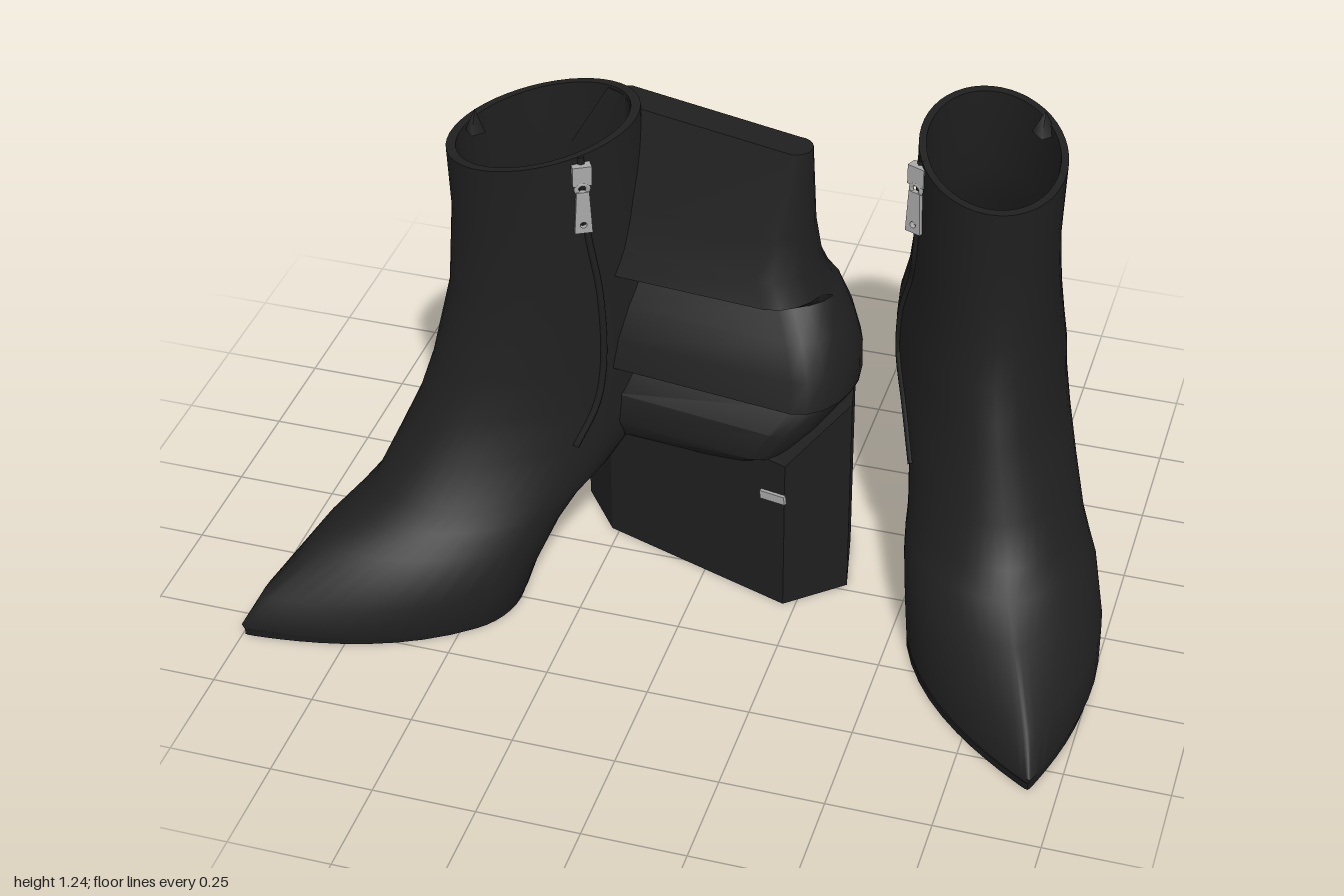
import * as THREE from 'three';
import { toCreasedNormals } from 'three/addons/utils/BufferGeometryUtils.js';

const leather = new THREE.MeshStandardMaterial({ name: 'black leather', color: 0x1f1f1f });
const rubber = new THREE.MeshStandardMaterial({ name: 'dark sole', color: 0x1b1b1b });
const metal = new THREE.MeshStandardMaterial({ name: 'zip metal', color: 0xa8a8a8 });
const N = 48;
const V = (x, y, z) => new THREE.Vector3(x, y, z);

// Skin over rings listed bottom to top (counter-clockwise from above), closed at both ends
function loft(rings, crease) {
  const n = rings[0].length, pos = [], idx = [];
  rings.forEach(r => r.forEach(p => pos.push(p.x, p.y, p.z)));
  for (let i = 0; i < rings.length - 1; i++) for (let j = 0; j < n; j++) {
    const a = i * n + j, b = i * n + (j + 1) % n;
    idx.push(a, b, b + n, a, b + n, a + n);
  }
  [0, rings.length - 1].forEach(i => {
    const c = V(0, 0, 0);
    rings[i].forEach(p => c.addScaledVector(p, 1 / n));
    const k = pos.length / 3;
    pos.push(c.x, c.y, c.z);
    for (let j = 0; j < n; j++) {
      const a = i * n + j, b = i * n + (j + 1) % n;
      if (i === 0) idx.push(k, b, a); else idx.push(k, a, b);
    }
  });
  const g = new THREE.BufferGeometry();
  g.setAttribute('position', new THREE.Float32BufferAttribute(pos, 3));
  g.setIndex(idx);
  return toCreasedNormals(g, crease);
}

function add(group, name, geometry, material, position = [0, 0, 0]) {
  const m = new THREE.Mesh(geometry, material);
  m.name = name;
  m.position.set(...position);
  group.add(m);
  return m;
}

// Horizontal slice: y, back x/z, front x/z, half width, toe sharpness, widest place
function slice([y, bx, bz, fx, fz, w, p, m], shrink = 1) {
  const L = Math.hypot(fx - bx, fz - bz), dx = (fx - bx) / L, dz = (fz - bz) / L;
  const cx = bx + (fx - bx) * m, cz = bz + (fz - bz) * m, ring = [];
  for (let j = 0; j < N; j++) {
    const a = j / N * Math.PI * 2, c = Math.cos(a), s = Math.sin(a), t = Math.abs(s);
    const u = c * L * (c > 0 ? 1 - m : m) * shrink;
    const taper = c > 0 ? 0.88 * Math.pow(t, p) + 0.12 * t : t;
    const v = Math.sign(s) * taper * w * shrink;
    ring.push(V(cx + dx * u + dz * v, y - (y > 1.1 ? 0.03 * c : 0), cz + dz * u - dx * v));
  }
  return ring;
}

// Upper with hollow shaft, sole, zip and puller
function addUpper(group, rows, seam, facing) {
  const outer = rows.map(r => slice(r));
  const inner = rows.filter(r => r[0] > 0.45).reverse().map(r => slice(r, 0.9));
  add(group, 'upper', loft([...outer, ...inner], 0.8), leather);
  const soleRow = y => slice([y, ...rows[0].slice(1)], 1.01);
  add(group, 'sole', loft([soleRow(0), soleRow(0.018)], 0.5), rubber);

  const path = outer.filter(r => r[seam].y > 0.38).map(r => r[seam]);
  const curve = new THREE.CatmullRomCurve3(path);
  add(group, 'zipSeam', new THREE.TubeGeometry(curve, 40, 0.009, 6), leather);

  const zip = new THREE.Group();
  zip.name = 'zipPuller';
  const top = path[path.length - 1];
  zip.position.set(top.x, 0, top.z);
  zip.rotation.y = facing;
  add(zip, 'slider', new THREE.BoxGeometry(0.045, 0.05, 0.025), metal, [0, 1.15, 0.008]);
  add(zip, 'link', new THREE.TorusGeometry(0.014, 0.006, 6, 14), metal, [0, 1.115, 0.016]);
  const tab = new THREE.Shape();
  tab.moveTo(-0.015, 0.11); tab.lineTo(-0.021, 0); tab.lineTo(0.021, 0); tab.lineTo(0.015, 0.11);
  const hole = new THREE.Path();
  hole.absarc(0, 0.022, 0.008, 0, Math.PI * 2);
  tab.holes.push(hole);
  add(zip, 'pullTab', new THREE.ExtrudeGeometry(tab, { depth: 0.012, bevelEnabled: false }), metal, [0, 1.0, 0.012]);
  group.add(zip);
}

// Faceted heel block whose top follows the slope of the foot
function addHeel(group, outline, topAt) {
  const bottom = outline.map(([x, z]) => V(x, 0, z));
  const top = outline.map(([x, z]) => V(x, topAt(x, z), z));
  add(group, 'heelBlock', loft([bottom, top], 0.3), leather);
}

export function createModel() {
  const model = new THREE.Group();
  model.name = 'ankleBoots';

  // Left boot
  const left = new THREE.Group();
  left.name = 'leftBoot';
  addUpper(left, [
    [0, 0.69, -0.1, 0.93, 0.57, 0.22, 2.2, 0.28],
    [0.03, 0.69, -0.13, 0.935, 0.575, 0.23, 2.2, 0.28],
    [0.1, 0.68, -0.17, 0.905, 0.49, 0.235, 1.9, 0.32],
    [0.2, 0.665, -0.21, 0.84, 0.34, 0.23, 1.6, 0.37],
    [0.25, 0.65, -0.235, 0.8, 0.23, 0.22, 1.3, 0.43],
    [0.3, 0.63, -0.27, 0.785, 0.18, 0.21, 1.1, 0.48],
    [0.4, 0.6, -0.36, 0.76, 0.135, 0.2, 1, 0.48],
    [0.5, 0.55, -0.47, 0.74, 0.1, 0.2, 1, 0.42],
    [0.57, 0.515, -0.565, 0.725, 0.075, 0.203, 1, 0.35],
    [0.62, 0.515, -0.575, 0.715, 0.06, 0.203, 1, 0.35],
    [0.7, 0.515, -0.565, 0.7, 0.03, 0.195, 1, 0.38],
    [0.8, 0.525, -0.53, 0.695, 0.01, 0.18, 1, 0.43],
    [0.9, 0.53, -0.485, 0.69, 0, 0.172, 1, 0.5],
    [1.0, 0.535, -0.45, 0.69, 0, 0.168, 1, 0.5],
    [1.19, 0.54, -0.435, 0.695, 0.005, 0.17, 1, 0.5],
  ], 37, -0.4);
  addHeel(left, [[0.455, -0.31], [0.68, -0.32], [0.7, -0.42], [0.585, -0.574], [0.47, -0.56], [0.405, -0.45]],
    (x, z) => 0.57 - (z + 0.575) * 0.7);
  add(left, 'zipEnd', new THREE.BoxGeometry(0.05, 0.006, 0.02), metal, [0.68, 1.12, -0.03]);
  add(left, 'liningPoint', new THREE.ConeGeometry(0.03, 0.06, 4), leather, [0.71, 1.205, -0.34]);
  model.add(left);

  // Right boot
  const right = new THREE.Group();
  right.name = 'rightBoot';
  addUpper(right, [
    [0, -0.46, 0.1, -0.99, 0.57, 0.215, 2.2, 0.28],
    [0.03, -0.45, 0.09, -1.0, 0.575, 0.225, 2.2, 0.28],
    [0.1, -0.43, 0.07, -0.96, 0.535, 0.23, 1.9, 0.3],
    [0.2, -0.38, 0.01, -0.86, 0.425, 0.22, 1.5, 0.35],
    [0.25, -0.34, -0.04, -0.79, 0.35, 0.21, 1.25, 0.4],
    [0.3, -0.28, -0.1, -0.74, 0.3, 0.2, 1.1, 0.45],
    [0.4, -0.2, -0.2, -0.695, 0.235, 0.19, 1, 0.5],
    [0.5, -0.15, -0.24, -0.655, 0.195, 0.182, 1, 0.5],
    [0.6, -0.15, -0.25, -0.625, 0.165, 0.18, 1, 0.5],
    [0.8, -0.18, -0.22, -0.585, 0.13, 0.175, 1, 0.5],
    [1.0, -0.21, -0.18, -0.58, 0.11, 0.17, 1, 0.5],
    [1.19, -0.22, -0.17, -0.585, 0.115, 0.17, 1, 0.5],
  ], 13, 0.5);

  // Wide pleated back: y, end x, front z and back z there, front z and back z at the shaft
  const heelTop = (x, z) => z > 0 ? 0.42 : 0.42 + (x + 0.37) * 0.18;
  const backRows = [
    [0.36, 0.2, 0.03, -0.24, 0, -0.3], [0.42, 0.25, 0.09, -0.25, 0.03, -0.32],
    [0.5, 0.3, 0.09, -0.26, 0.03, -0.325], [0.56, 0.345, 0.05, -0.26, -0.01, -0.325],
    [0.585, 0.352, 0.105, -0.26, 0.045, -0.32], [0.66, 0.35, 0.085, -0.255, 0.03, -0.31],
    [0.74, 0.325, 0.05, -0.25, 0, -0.29], [0.81, 0.29, 0, -0.24, -0.04, -0.275],
    [0.84, 0.275, 0.065, -0.23, 0.03, -0.265], [0.9, 0.25, 0.045, -0.21, 0, -0.255],
    [1.0, 0.235, 0.015, -0.18, -0.04, -0.24], [1.21, 0.23, -0.03, -0.11, -0.13, -0.22],
  ];
  add(right, 'pleatedBack', loft(backRows.map(([y, xe, zf, zb, shaftF, shaftB]) => {
    const r = Math.min(0.12, (zf - zb) / 2), ring = [V(-0.225, y, shaftF)];
    for (let k = 0; k <= 10; k++) {
      const a = k / 10 * Math.PI;
      ring.push(V(xe - r + r * Math.sin(a), y, (zf + zb) / 2 + (zf - zb) / 2 * Math.cos(a)));
    }
    // wrap along the back of the shaft and return just inside its wall
    const xl = y > 1.1 ? -0.3 : -0.42, xm = (xl - 0.25) / 2, k = -shaftB - 0.2;
    ring.push(V(-0.25, y, shaftB), V(xm, y, shaftB + 0.01 + 0.2 * k), V(xl, y, shaftB + 0.015 + 0.6 * k),
      V(xm, y, shaftB + 0.03 + 0.3 * k), V(-0.25, y, shaftB + 0.05));
    ring.forEach(p => { if (p.z < 0) p.y = Math.max(p.y, heelTop(p.x, p.z) - 0.02); });
    return ring;
  }), 0.6), leather);
  addHeel(right, [[-0.27, -0.07], [0.22, 0.095], [0.352, -0.02], [0.315, -0.2], [-0.2, -0.32], [-0.37, -0.2]], heelTop);
  const clip = add(right, 'heelClip', new THREE.BoxGeometry(0.07, 0.022, 0.009), metal, [0.19, 0.32, 0.09]);
  clip.rotation.set(0, -0.325, 0.12);
  add(right, 'liningPoint', new THREE.ConeGeometry(0.025, 0.06, 4), leather, [-0.56, 1.19, 0]);
  model.add(right);
  return model;
}
